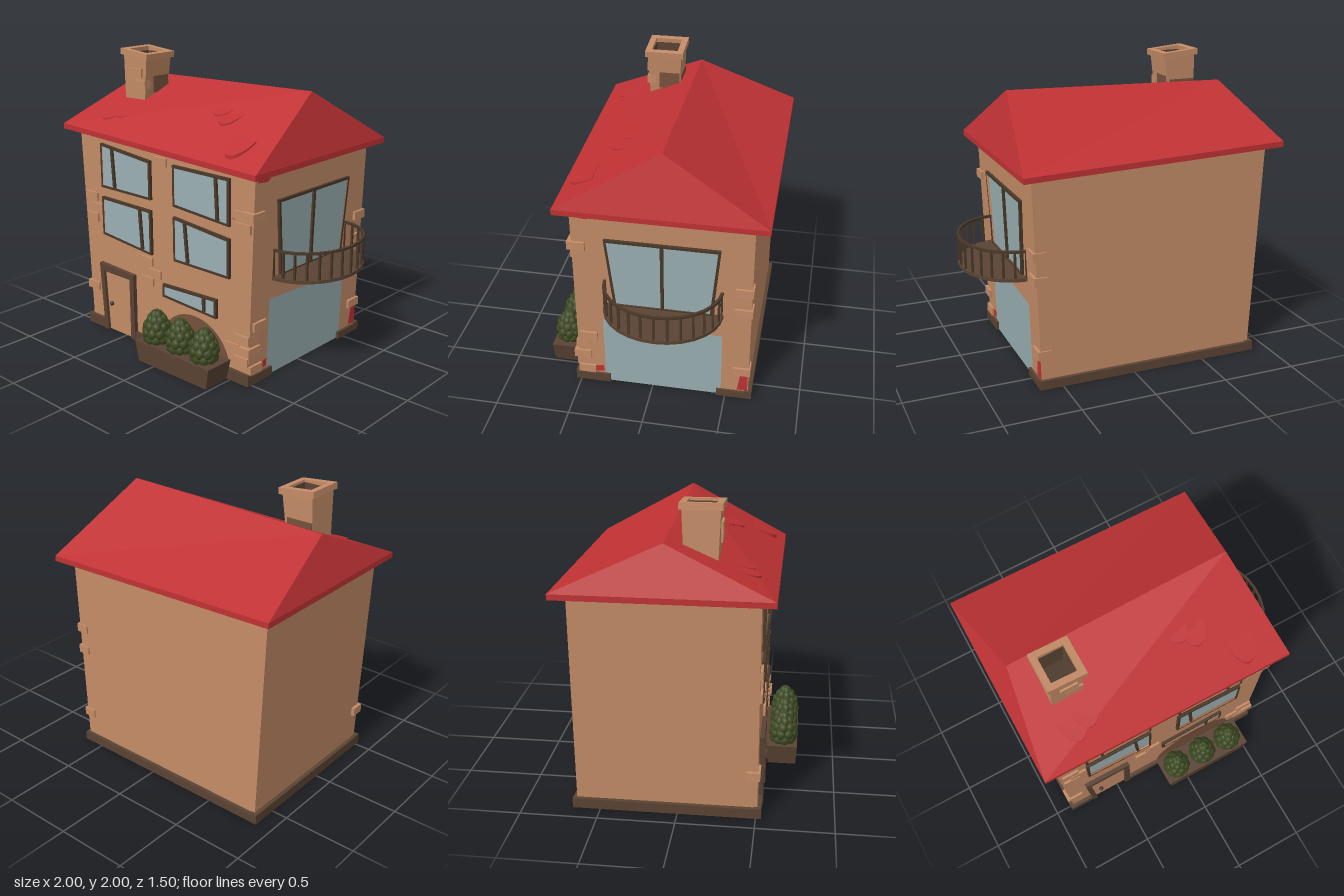
import * as THREE from 'three';

const mat = (name, color, side = THREE.FrontSide) => {
  const m = new THREE.MeshStandardMaterial({ color, side });
  m.name = name;
  return m;
};

export function createModel() {
  const house = new THREE.Group();
  house.name = 'house';
  const plaster = mat('plaster', 0xc48c67, THREE.DoubleSide);
  const shaded = mat('shaded plaster', 0x76513b, THREE.DoubleSide);
  const red = mat('roof red', 0xc03234);
  const glass = mat('glass', 0x9aafb3, THREE.DoubleSide);
  const timber = mat('dark timber', 0x4a3829);
  const brown = mat('brown', 0x5a4333, THREE.DoubleSide);
  const leaf = mat('leaf green', 0x3d4a22);

  const add = (name, geo, material, parent = house) => {
    const mesh = new THREE.Mesh(geo, material);
    mesh.name = name;
    parent.add(mesh);
    return mesh;
  };
  // box given by its limits
  const box = (name, [x0, x1], [y0, y1], [z0, z1], material, parent) =>
    add(name, new THREE.BoxGeometry(x1 - x0, y1 - y0, z1 - z0)
      .translate((x0 + x1) / 2, (y0 + y1) / 2, (z0 + z1) / 2), material, parent);
  const remap = (geo, fn) => {
    const p = geo.attributes.position;
    for (let i = 0; i < p.count; i++) p.setXYZ(i, ...fn(p.getX(i), p.getY(i), p.getZ(i)));
    geo.computeVertexNormals();
    return geo;
  };
  const poly = pts => new THREE.Shape(pts.map(p => new THREE.Vector2(...p)));
  const extrude = (shape, depth, z = 0) =>
    new THREE.ExtrudeGeometry(shape, { depth, bevelEnabled: false }).translate(0, 0, z);

  // Walls lean outwards, so each face maps (along, up, out) into the model
  const TOP = 1.43, FRONT = 0.51, BACK = -0.655;
  const xl = y => -0.86 - 0.065 * y / TOP;
  const xr = y => 0.635 + 0.05 * y / TOP;
  const onFront = (u, y, d) => [u, y, FRONT + d];
  const onRight = (u, y, d) => [xr(y) + d, y, -u];
  const onLeft = (u, y, d) => [xl(y) - d, y, u];
  const onBack = (u, y, d) => [-u, y, BACK - d];

  // Framed window from corners TL, TR, BR, BL with a leaning mullion
  const inset = (q, w) => q.map(([x, y], i) => [x + (i % 3 ? -w : w), y + (i < 2 ? -w : w)]);
  const windowPart = (name, q, mullion, map) => {
    const g = new THREE.Group();
    g.name = name;
    house.add(g);
    const ring = poly(q);
    ring.holes.push(poly(inset(q, 0.018)));
    add('frame', remap(extrude(ring, 0.045, -0.025), map), timber, g);
    add('pane', remap(new THREE.ShapeGeometry(poly(q)), map), glass, g);
    const [a, b] = mullion, w = 0.01;
    const at = (i, j, x) => q[i][1] + (q[j][1] - q[i][1]) * (x - q[i][0]) / (q[j][0] - q[i][0]);
    const yt = at(0, 1, a) - 0.01, yb = at(3, 2, b) + 0.01;
    add('mullion', remap(extrude(poly([[a - w, yt], [a + w, yt], [b + w, yb], [b - w, yb]]), 0.036, -0.02), map), timber, g);
  };

  const frontWindows = [
    [[[-0.705, 1.378], [-0.215, 1.335], [-0.215, 1.065], [-0.705, 1.065]], [-0.6, -0.58]],
    [[[-0.005, 1.345], [0.487, 1.345], [0.487, 1.035], [-0.005, 1.067]], [0.365, 0.38]],
    [[[-0.705, 0.997], [-0.215, 0.992], [-0.215, 0.677], [-0.705, 0.72]], [-0.335, -0.315]],
    [[[-0.005, 0.997], [0.487, 0.955], [0.487, 0.69], [-0.005, 0.69]], [0.09, 0.115]],
    [[[-0.115, 0.5], [0.375, 0.52], [0.375, 0.385], [-0.115, 0.407]], [0.257, 0.257]],
  ];
  const balconyDoor = [[-0.295, 1.2], [0.45, 1.2], [0.405, 0.68], [-0.245, 0.68]];
  const garage = [[-0.33, 0], [-0.33, 0.54], [0.47, 0.51], [0.47, 0]];

  // Hollow wall shell with openings
  const frontShape = poly([[xl(0), 0], [xr(0), 0], [xr(TOP), TOP], [xl(TOP), TOP]]);
  frontWindows.forEach(([q]) => frontShape.holes.push(poly(q)));
  add('frontWall', remap(new THREE.ShapeGeometry(frontShape), onFront), plaster);
  add('backWall', remap(new THREE.ShapeGeometry(
    poly([[-xr(0), 0], [-xl(0), 0], [-xl(TOP), TOP], [-xr(TOP), TOP]])), onBack), plaster);
  const rightShape = poly([[-FRONT, 0], ...garage, [-BACK, 0], [-BACK, TOP], [-FRONT, TOP]]);
  rightShape.holes.push(poly(balconyDoor));
  add('balconySideWall', remap(new THREE.ShapeGeometry(rightShape), onRight), plaster);
  add('plainSideWall', remap(new THREE.ShapeGeometry(
    poly([[BACK, 0], [FRONT, 0], [FRONT, TOP], [BACK, TOP]])), onLeft), plaster);

  frontWindows.forEach(([q, m], i) => windowPart('frontWindow' + (i + 1), q, m, onFront));
  windowPart('balconyDoor', balconyDoor, [0.075, 0.075], onRight);
  add('garageDoor', remap(new THREE.ShapeGeometry(poly(garage)), onRight), glass);

  // Front door with crooked frame and knob
  add('doorFrame', extrude(poly([[-0.71, 0], [-0.745, 0.5], [-0.395, 0.485], [-0.395, 0],
    [-0.435, 0], [-0.435, 0.445], [-0.705, 0.445], [-0.675, 0]]), 0.065, 0.475), brown);
  add('frontDoor', extrude(poly([[-0.675, 0], [-0.435, 0], [-0.435, 0.445], [-0.705, 0.445]]), 0.03, 0.488), plaster);
  add('doorKnob', new THREE.SphereGeometry(0.016, 12, 8).translate(-0.635, 0.21, 0.535), timber);

  // Plinth pieces leave room for the door and garage
  [[[-0.89, -0.7], [0, 0.07], [0.485, 0.535]], [[-0.4, 0.1], [0, 0.058], [0.485, 0.535]],
    [[0.1, 0.655], [0, 0.075], [0.485, 0.535]], [[-0.89, -0.84], [0, 0.066], [-0.68, 0.535]],
    [[-0.89, 0.655], [0, 0.06], [-0.68, -0.63]], [[0.6, 0.655], [0, 0.062], [0.295, 0.535]],
    [[0.6, 0.655], [0, 0.05], [-0.68, -0.44]],
  ].forEach(l => box('plinth', ...l, brown));

  // Stray bricks: [x, y] lower corner on the front, then on the balcony side [z, y]
  [[-0.88, 0.95], [-0.83, 0.875], [-0.88, 0.797], [-0.897, 0.27], [0.52, 1.095], [0.54, 1.02],
    [0.53, 0.275], [0.445, 0.2], [0.52, 0.123], [-0.185, 1.315], [-0.335, 0.595], [-0.255, 0.517],
    [-0.33, 0.45],
  ].forEach(([x, y]) => box('frontBrick', [x, x + 0.117], [y, y + 0.058], [0.435, 0.525], plaster));
  [[-0.665, 0.862], [-0.665, 0.7], [-0.665, 0.2], [0.37, 0.365], [0.395, 0.07], [0.42, 1.1], [0.42, 0.2]]
    .forEach(([z, y]) => box('sideBrick', [xr(y) - 0.07, xr(y) + 0.02], [y, y + 0.058], [z, z + 0.117], plaster));

  // Painted patches
  const patch = (name, pts, map, material) =>
    add(name, remap(extrude(poly(pts), 0.003, 0.001), map), material);
  patch('redPatch', [[-0.49, 1.345], [-0.47, 1.39], [-0.38, 1.39], [-0.36, 1.36], [-0.4, 1.335]], onRight, red);
  patch('redPatch', [[0.58, 0.06], [0.6, 0.2], [0.65, 0.2], [0.65, 0.06]], onRight, red);
  patch('redPatch', [[-0.43, 0.07], [-0.43, 0.11], [-0.4, 0.12], [-0.34, 0.13], [-0.34, 0.08]], onRight, red);
  patch('redPatch', [[0.5, 1.095], [0.52, 1.085], [0.525, 1.105]], onFront, red);
  const arch = new THREE.Shape().absellipse(0.165, 0.06, 0.31, 0.28, 0, Math.PI);
  add('plasterStain', extrude(arch, 0.008, FRONT - 0.004), shaded);

  // Crooked hipped roof from eave corners and ridge ends
  const eave = [[-1, 1.45, 0.6], [0.76, 1.39, 0.6], [0.76, 1.39, -0.75], [-1, 1.45, -0.75]];
  const lip = eave.map(([x, y, z]) => [x, y + 0.037, z]);
  const r0 = [-0.885, 1.785, -0.075], r1 = [0.645, 1.82, -0.075];
  const tris = [];
  const face = (a, b, c, d) => {
    tris.push(...a, ...b, ...c);
    if (d) tris.push(...a, ...c, ...d);
  };
  for (let i = 0; i < 4; i++) face(eave[i], eave[(i + 1) % 4], lip[(i + 1) % 4], lip[i]);
  face(lip[0], lip[1], r1, r0);
  face(lip[1], lip[2], r1);
  face(lip[2], lip[3], r0, r1);
  face(lip[3], lip[0], r0);
  face(eave[3], eave[2], eave[1], eave[0]);
  const roof = new THREE.BufferGeometry();
  roof.setAttribute('position', new THREE.Float32BufferAttribute(tris, 3));
  roof.computeVertexNormals();
  add('roof', roof, red);

  // Half-round tiles that lift off the front slope
  const roofY = (x, z) => THREE.MathUtils.lerp(1.487 - 0.06 * (x + 1) / 1.76,
    1.785 + 0.035 * (x + 0.885) / 1.53, (0.6 - z) / 0.675);
  [[-0.69, 0.33], [-0.59, 0.29], [0.145, 0.105], [0.24, 0.165], [0.49, 0.38]].forEach(([x0, z0]) => {
    const s = new THREE.Shape().absellipse(0, 0, 0.088, 0.16, Math.PI, 2 * Math.PI);
    add('roofTile', remap(extrude(s, 1), (x, v, d) =>
      [x0 + x, roofY(x0 + x, z0 - v) + d * (0.008 + 0.1 * -v) - (1 - d) * 0.02, z0 - v]), red);
  });

  // Chimney: tapered shaft, dark flue and tilted cap
  const chimney = new THREE.Group();
  chimney.name = 'chimney';
  house.add(chimney);
  const funnel = (top, bottom, y0, y1) => remap(
    new THREE.CylinderGeometry(Math.SQRT1_2, Math.SQRT1_2, 1, 4, 1, true).rotateY(Math.PI / 4).toNonIndexed(),
    (x, y, z) => {
      const [cx, w, d] = y > 0 ? top : bottom;
      return [cx + x * w, y > 0 ? y1 : y0, 0.133 + z * d];
    });
  add('shaft', funnel([-0.63, 0.225, 0.235], [-0.655, 0.19, 0.205], 1.6, 1.965), plaster, chimney);
  add('flue', funnel([-0.632, 0.17, 0.175], [-0.65, 0.14, 0.15], 1.65, 1.965), brown, chimney);
  box('flueFloor', [-0.73, -0.57], [1.78, 1.79], [0.05, 0.215], timber, chimney);
  const rim = poly([[-0.13, -0.132], [0.13, -0.132], [0.13, 0.132], [-0.13, 0.132]]);
  rim.holes.push(poly([[-0.087, -0.09], [-0.087, 0.09], [0.087, 0.09], [0.087, -0.09]]));
  const cap = add('cap', extrude(rim, 0.042).rotateX(-Math.PI / 2), plaster, chimney);
  cap.position.set(-0.632, 1.945, 0.133);
  cap.rotation.z = -0.09;
  box('chimneyBrick', [-0.685, -0.565], [1.81, 1.87], [0.2, 0.26], plaster, chimney);
  box('chimneyBrick', [-0.64, -0.535], [1.73, 1.79], [0.2, 0.255], plaster, chimney);
  box('sootBack', [-0.745, -0.56], [1.69, 1.79], [0.02, 0.028], shaded, chimney);
  const soot = box('sootSide', [-0.004, 0.004], [1.7, 1.84], [0.03, 0.17], shaded, chimney);
  soot.position.x = -0.539;

  // Balcony: half-oval deck, rail and balusters
  const balcony = new THREE.Group();
  balcony.name = 'balcony';
  balcony.position.set(0.66, 0, -0.08);
  house.add(balcony);
  const RX = 0.335, RZ = 0.393, STEPS = 14;
  const rimPoint = (i, k = 1) => {
    const a = -Math.PI / 2 + Math.PI * i / STEPS;
    return [RX * k * Math.cos(a), RZ * k * Math.sin(a)];
  };
  const outer = [], inner = [];
  for (let i = 0; i <= STEPS; i++) {
    outer.push(rimPoint(i));
    inner.unshift(rimPoint(i, 0.95));
  }
  add('deck', extrude(poly(outer), 0.022).rotateX(-Math.PI / 2).translate(0, 0.668, 0), brown, balcony);
  add('handrail', extrude(poly([...outer, ...inner]), 0.016).rotateX(-Math.PI / 2).translate(0, 0.86, 0), timber, balcony);
  for (let i = 0; i <= STEPS; i++) {
    const [x, z] = rimPoint(i, 0.97);
    add('baluster', new THREE.BoxGeometry(0.014, 0.18, 0.014).translate(x, 0.775, z), timber, balcony);
  }

  // Flared planter with three scaly shrubs
  const planter = remap(new THREE.BoxGeometry(1, 1, 1), (x, y, z) =>
    [0.17 + x * (y > 0 ? 0.675 : 0.615), y > 0 ? 0.145 : 0, 0.64 + z * (y > 0 ? 0.21 : 0.195)]);
  add('planter', planter, brown);
  const profile = [[0.06, 0], [0.088, 0.05], [0.088, 0.1], [0.065, 0.155], [0.035, 0.195], [0, 0.22]]
    .map(p => new THREE.Vector2(...p));
  const rows = [[0.073, 0.03, 9], [0.08, 0.075, 9], [0.071, 0.12, 8], [0.05, 0.16, 7], [0.024, 0.19, 5]];
  [-0.055, 0.165, 0.38].forEach((x, n) => {
    const shrub = new THREE.Group();
    shrub.name = 'shrub' + (n + 1);
    shrub.position.set(x, 0.142, 0.645);
    house.add(shrub);
    add('core', new THREE.LatheGeometry(profile, 16), leaf, shrub);
    rows.forEach(([r, y, count], k) => {
      for (let i = 0; i < count; i++) {
        const a = 2 * Math.PI * (i + (k % 2) / 2) / count;
        const scale = add('leafScale', new THREE.SphereGeometry(1, 10, 6), leaf, shrub);
        scale.scale.set(0.034 - k * 0.002, 0.036, 0.022);
        scale.position.set(r * Math.sin(a), y, r * Math.cos(a));
        scale.rotation.set(-0.12 * k, a, 0, 'YXZ');
      }
    });
  });
  return house;
}
